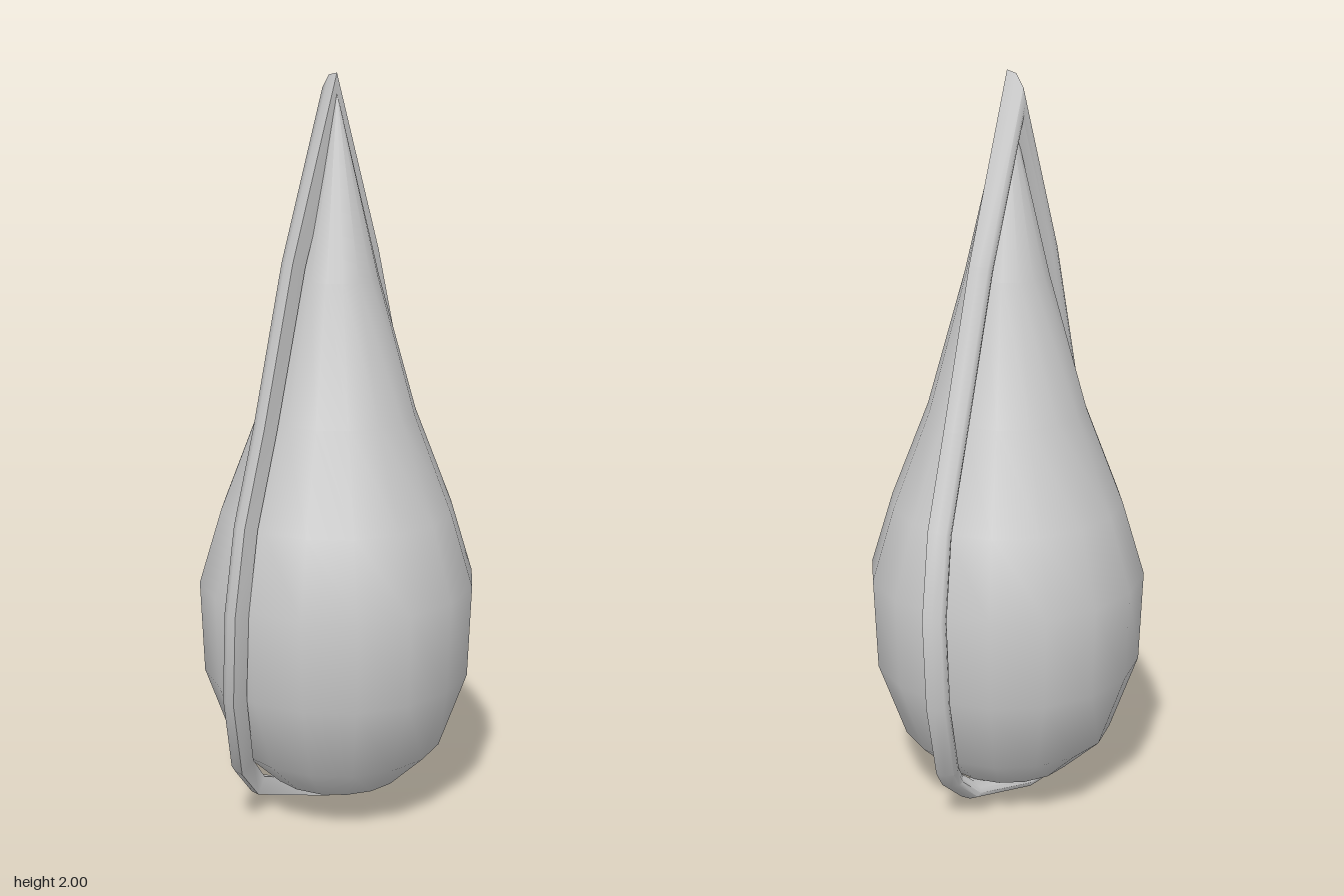
import * as THREE from 'three';
import { toCreasedNormals } from 'three/addons/utils/BufferGeometryUtils.js';

const SIDES = 16;

// Revolved shell from [radius, height] pairs
function revolve(profile) {
  const points = profile.map(([r, y]) => new THREE.Vector2(r, y));
  return new THREE.LatheGeometry(points, SIDES, 0.08);
}

// Closed loop band: flat front face, rounded back; the path is its outer front edge
function bandGeometry(path, thickness, depth) {
  const section = [[0, 0], [1, 0], [0.96, 0.5], [0.75, 0.9], [0.5, 1], [0.25, 0.9], [0.04, 0.5]];
  const n = path.length, m = section.length;
  const positions = [], index = [];
  const inward = (a, b) => new THREE.Vector2(b[1] - a[1], a[0] - b[0]).normalize();
  path.forEach((p, i) => {
    const n0 = inward(path[(i + n - 1) % n], p);
    const n1 = inward(p, path[(i + 1) % n]);
    // mitred inward direction at each corner
    const miter = n0.clone().add(n1);
    miter.multiplyScalar(2 / miter.lengthSq());
    for (const [s, t] of section) {
      positions.push(
        p[0] + miter.x * s * thickness,
        p[1] + miter.y * s * thickness,
        p[2] - t * depth);
    }
    for (let j = 0; j < m; j++) {
      const k = (j + 1) % m, next = ((i + 1) % n) * m;
      const a = i * m + j, b = i * m + k, c = next + j, d = next + k;
      index.push(a, b, d, a, d, c);
    }
  });
  const geometry = new THREE.BufferGeometry();
  geometry.setAttribute('position', new THREE.Float32BufferAttribute(positions, 3));
  geometry.setIndex(index);
  return toCreasedNormals(geometry, 0.85);
}

export function createModel() {
  const model = new THREE.Group();
  const material = new THREE.MeshStandardMaterial({ color: 0xcccccc, side: THREE.DoubleSide });
  const add = (name, geometry) => {
    const mesh = new THREE.Mesh(geometry, material);
    mesh.name = name;
    model.add(mesh);
  };

  // Teardrop body
  add('body', revolve([
    [0.18, 0.1], [0.285, 0.2], [0.36, 0.41], [0.37, 0.66],
    [0.31, 0.86], [0.21, 1.12], [0.11, 1.48], [0, 1.95],
  ]));

  // Shallow underside
  add('base', revolve([[0, 0.05], [0.18, 0.1]]));

  // Band running round the body, swaying slightly front to back
  add('band', bandGeometry([
    [0, 2, 0], [0.155, 1.53, 0.01], [0.265, 1.12, 0.015], [0.36, 0.88, 0],
    [0.42, 0.66, -0.023], [0.41, 0.41, -0.025], [0.335, 0.18, 0],
    [0.27, 0.11, 0.028], [0.22, 0.06, 0],
    [0, 0.005, -0.03],
    [-0.21, 0.06, -0.1], [-0.335, 0.18, -0.04],
    [-0.41, 0.41, 0.005], [-0.42, 0.66, 0.025], [-0.36, 0.88, 0.005],
    [-0.265, 1.12, -0.013], [-0.155, 1.53, -0.013],
  ], 0.05, 0.055));

  return model;
}
